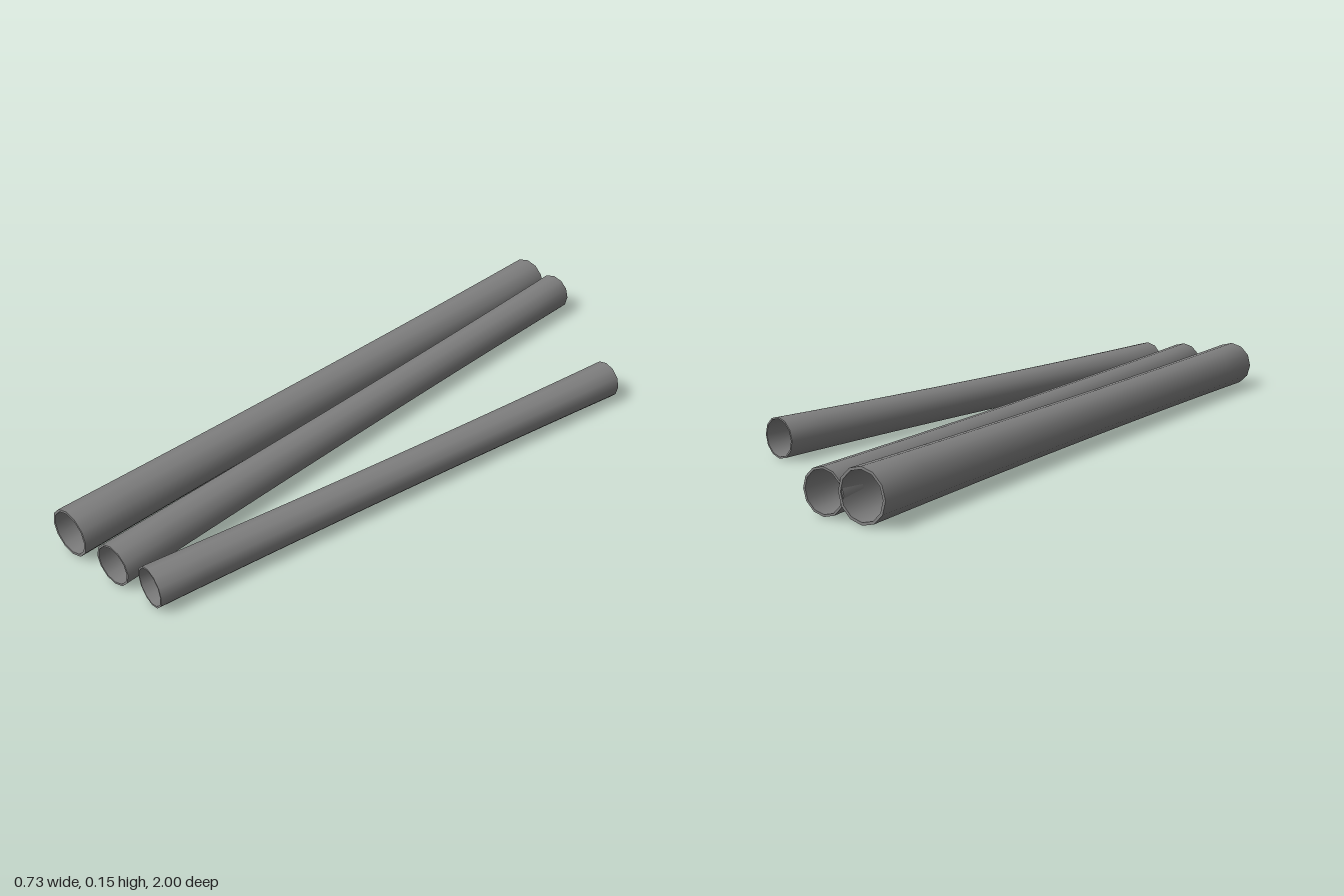
import * as THREE from 'three';
import { toCreasedNormals } from 'three/addons/utils/BufferGeometryUtils.js';

const material = new THREE.MeshStandardMaterial({ color: 0x808080 });

// Hollow twelve-sided pipe with a slight waist, running between two axis points [x, z]
function pipe(name, back, front, y, radius, waist, wall) {
  const dx = front[0] - back[0], dz = front[1] - back[1];
  const length = Math.hypot(dx, dz);
  const steps = 12;
  const outer = [], inner = [];
  for (let i = 0; i <= steps; i++) {
    const t = (i / steps) * 2 - 1;
    const r = waist + (radius - waist) * t * t;
    outer.push(new THREE.Vector2(r, (t * length) / 2));
    inner.unshift(new THREE.Vector2(r - wall, (t * length) / 2));
  }
  // Closed profile: outside wall, front rim, inside wall, back rim
  const lathe = new THREE.LatheGeometry([...outer, ...inner, outer[0].clone()], 12);
  lathe.rotateX(Math.PI / 2);
  const mesh = new THREE.Mesh(toCreasedNormals(lathe, THREE.MathUtils.degToRad(40)), material);
  mesh.name = name;
  mesh.position.set((back[0] + front[0]) / 2, y, (back[1] + front[1]) / 2);
  mesh.rotation.y = Math.atan2(dx, dz);
  return mesh;
}

export function createModel() {
  const group = new THREE.Group();
  group.name = 'pipes';
  group.add(
    pipe('largePipe', [-0.292, -1], [-0.292, 1], 0.076, 0.0725, 0.066, 0.0075),
    pipe('mediumPipe', [-0.171, -0.998], [-0.107, 0.998], 0.066, 0.063, 0.057, 0.006),
    pipe('smallPipe', [0.303, -0.652], [0.03, 0.984], 0.061, 0.06, 0.0535, 0.005),
  );
  return group;
}
